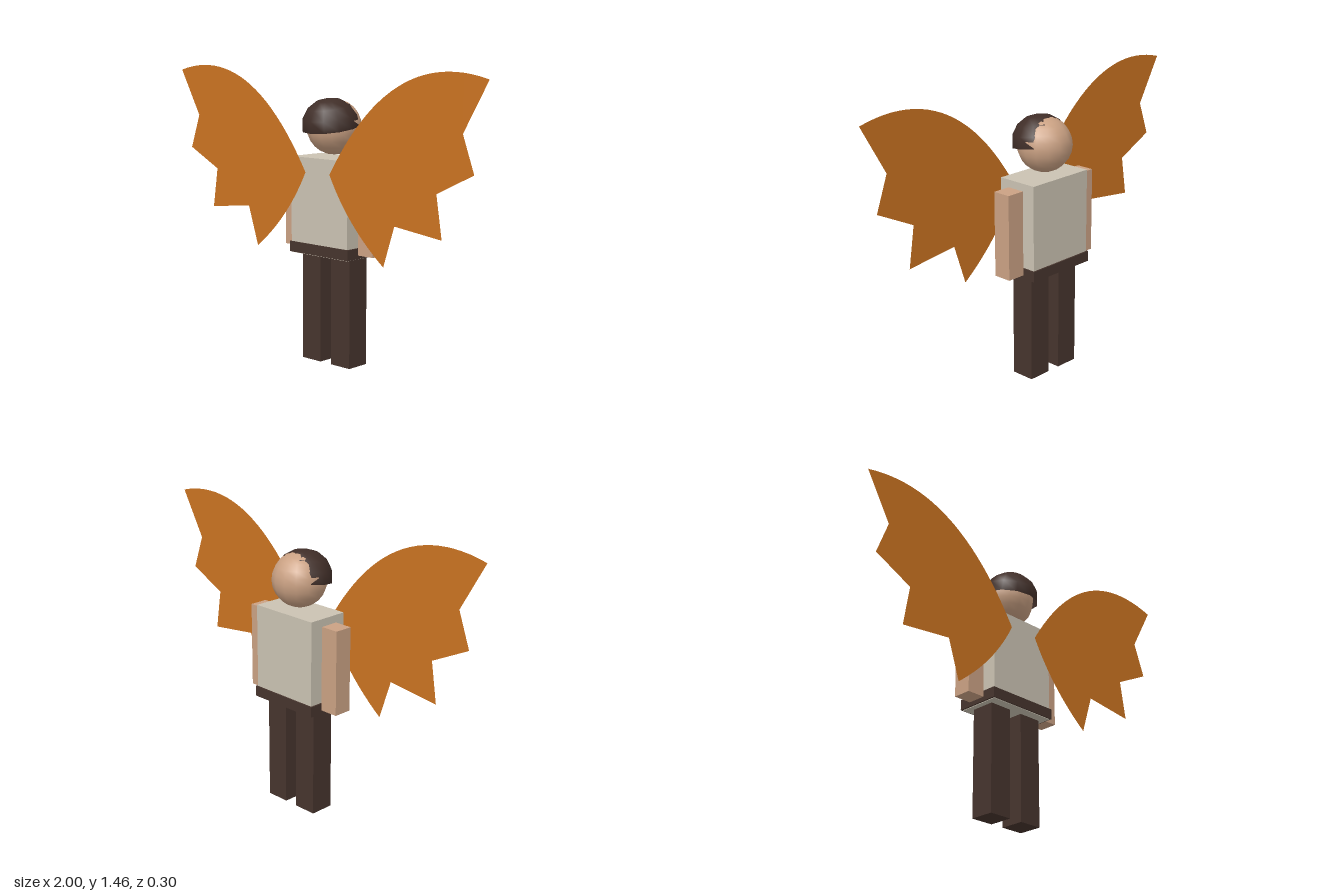
import * as THREE from 'three';

const mat = (name, color, side = THREE.FrontSide) => {
  const m = new THREE.MeshStandardMaterial({ color, side });
  m.name = name;
  return m;
};

export function createModel() {
  const model = new THREE.Group();
  model.name = 'wingedFigure';

  const skin = mat('skin', 0xcaa183);
  const shirt = mat('shirt', 0xcac2b2);
  const trousers = mat('trousers', 0x46342d);
  const hairBrown = mat('hairBrown', 0x402e28, THREE.DoubleSide);
  const wingOrange = mat('wingOrange', 0xca7321, THREE.DoubleSide);

  const add = (name, geometry, material) => {
    const mesh = new THREE.Mesh(geometry, material);
    mesh.name = name;
    model.add(mesh);
    return mesh;
  };
  // Box given by its extents along each axis
  const box = (name, material, [x0, x1], [y0, y1], [z0, z1]) =>
    add(name, new THREE.BoxGeometry(x1 - x0, y1 - y0, z1 - z0), material)
      .position.set((x0 + x1) / 2, (y0 + y1) / 2, (z0 + z1) / 2);

  // Body; the shirt runs down through the waistband
  box('torso', shirt, [-0.187, 0.187], [0.545, 1.023], [-0.122, 0.094]);
  box('waistband', trousers, [-0.195, 0.195], [0.548, 0.6], [-0.13, 0.1]);

  // Wing outline: arched leading edge, jagged trailing edge, curved root
  const outline = new THREE.Shape();
  outline.moveTo(0.08, 0.952);
  outline.quadraticCurveTo(0.199, 0.719, 0.422, 0.55);
  [[0.487, 0.749], [0.76, 0.717], [0.727, 0.92], [0.93, 1.02], [0.866, 1.193], [1, 1.428]]
    .forEach(([x, y]) => outline.lineTo(x, y));
  outline.quadraticCurveTo(0.46, 1.575, 0.08, 0.952);

  // Paired limbs and wings
  for (const [side, s] of [['left', 1], ['right', -1]]) {
    const span = (a, b) => (s > 0 ? [a, b] : [-b, -a]);
    box(`${side}Leg`, trousers, span(0.036, 0.158), [0, 0.55], [-0.077, 0.046]);
    box(`${side}Arm`, skin, span(0.198, 0.293), [0.567, 0.99], [-0.063, 0.031]);
    const wing = add(`${side}Wing`, new THREE.ShapeGeometry(outline, 24), wingOrange);
    wing.position.z = 0.104;
    if (s < 0) wing.scale.x = -1;
  }

  // Head floating above the shoulders
  const head = add('head', new THREE.SphereGeometry(0.135, 14, 12), skin);
  head.position.set(0, 1.171, -0.015);

  // Hair: shallow cap tipped down over the forehead
  const cap = new THREE.SphereGeometry(0.143, 12, 4, 0, Math.PI * 2, 0, THREE.MathUtils.degToRad(95));
  cap.scale(1, 0.94, 1);
  const hair = add('hair', cap, hairBrown);
  hair.position.set(0, 1.179, 0.01);
  hair.rotation.x = THREE.MathUtils.degToRad(9);

  return model;
}
